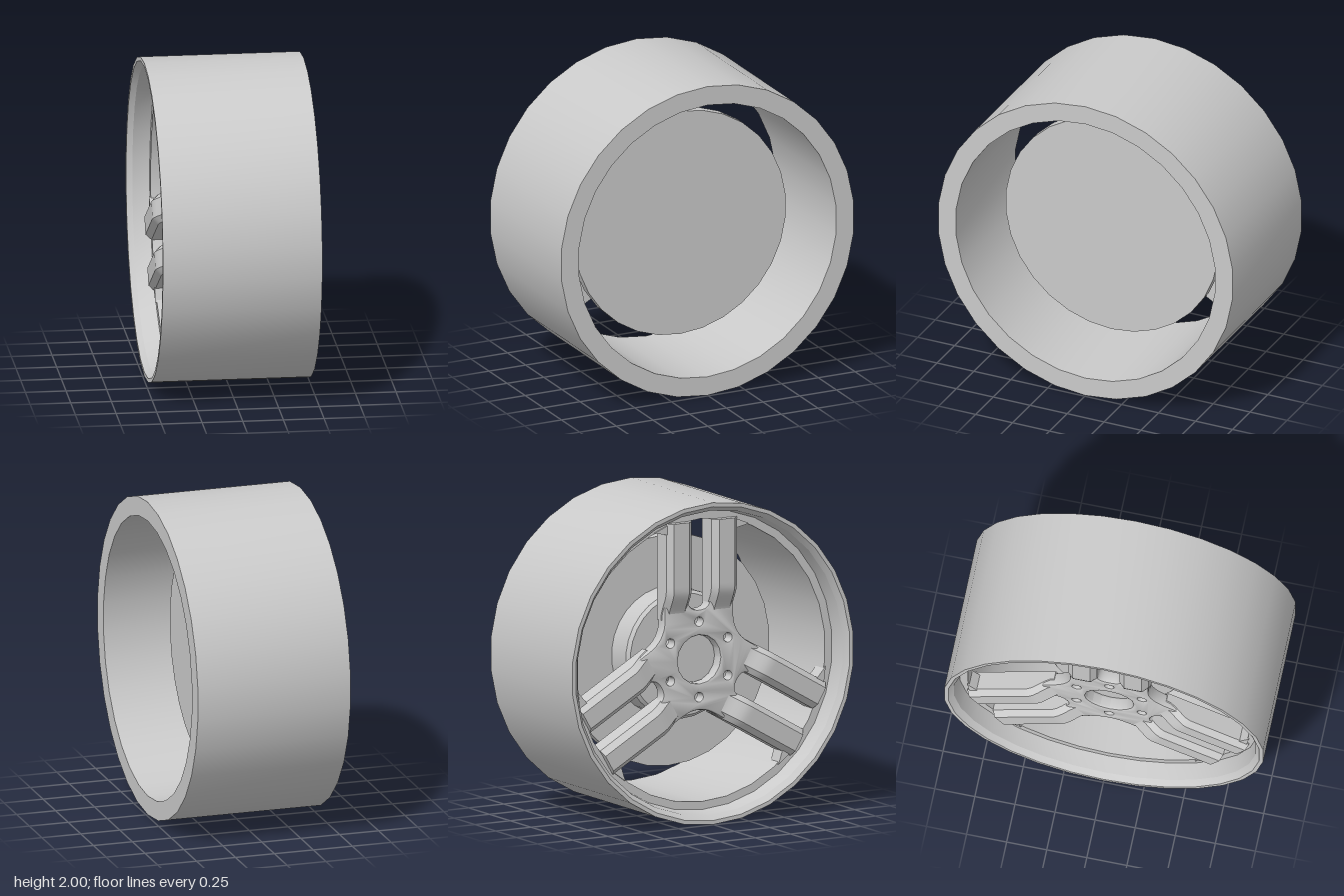
import * as THREE from 'three';
import { toCreasedNormals } from 'three/addons/utils/BufferGeometryUtils.js';

export function createModel() {
  const metal = new THREE.MeshStandardMaterial({ color: 0xcacaca });
  metal.name = 'grey metal';

  // Built with the axle along local z; the spoked face looks along +z, then turns to -x
  const wheel = new THREE.Group();
  wheel.name = 'wheel';

  function add(name, geometry) {
    const mesh = new THREE.Mesh(toCreasedNormals(geometry, 0.5), metal);
    mesh.name = name;
    wheel.add(mesh);
  }
  // Profile as [radius, position along axle]
  function turned(name, profile) {
    const g = new THREE.LatheGeometry(profile.map(([r, z]) => new THREE.Vector2(r, z)), 30);
    add(name, g.rotateX(Math.PI / 2));
  }

  // Barrel with a stepped lip and a seat for the spokes
  turned('rimBarrel', [
    [0.88, -0.49], [1, -0.49], [1, 0.49], [0.975, 0.49], [0.945, 0.455],
    [0.93, 0.35], [0.88, 0.35], [0.88, -0.49],
  ]);

  // Large disc with a stepped hub behind the spokes
  turned('brakeDrum', [
    [0, -0.115], [0.72, -0.115], [0.72, -0.05], [0.4, -0.05], [0.4, 0.12],
    [0.38, 0.14], [0.19, 0.14], [0.19, 0.25], [0, 0.25],
  ]);

  // Point at radius r along a spoke pair and t across it
  const pairAngle = (pair) => Math.PI / 2 + pair * Math.PI * 2 / 3;
  const at = (pair, r, t) => {
    const a = pairAngle(pair);
    return [r * Math.cos(a) - t * Math.sin(a), r * Math.sin(a) + t * Math.cos(a)];
  };

  // Hub plate: three stubs with rounded inner corners
  const plate = new THREE.Shape();
  plate.moveTo(...at(0, 0.27, -0.245));
  for (let i = 0; i < 3; i++) {
    plate.lineTo(...at(i, 0.37, -0.245));
    plate.lineTo(...at(i, 0.37, -0.075));
    plate.quadraticCurveTo(...at(i, 0.31, -0.07), ...at(i, 0.31, 0));
    plate.quadraticCurveTo(...at(i, 0.31, 0.07), ...at(i, 0.37, 0.075));
    plate.lineTo(...at(i, 0.37, 0.245));
    plate.lineTo(...at(i, 0.27, 0.245));
    plate.quadraticCurveTo(...at(i, 0.1415, 0.245), ...at(i + 1, 0.27, -0.245));
  }
  // Centre bore and six bolt holes
  const hole = (x, y, r) => {
    const p = new THREE.Path();
    p.absarc(x, y, r, 0, Math.PI * 2, true);
    plate.holes.push(p);
  };
  hole(0, 0, 0.15);
  for (let i = 0; i < 6; i++) {
    const a = Math.PI / 6 + i * Math.PI / 3;
    hole(0.235 * Math.cos(a), 0.235 * Math.sin(a), 0.026);
  }
  const hub = new THREE.ExtrudeGeometry(plate, {
    depth: 0.055, curveSegments: 8, bevelThickness: 0.015,
    bevelSize: 0.015, bevelOffset: -0.015, bevelSegments: 2,
  });
  add('hub', hub.translate(0, 0, 0.26));

  // Spokes: chamfered bars that dip towards the hub
  const section = new THREE.Shape([
    [-0.09, 0.24], [0.09, 0.24], [0.09, 0.355], [0.055, 0.39], [-0.055, 0.39], [-0.09, 0.355],
  ].map(([t, z]) => new THREE.Vector2(t, z)));
  const gussetOutline = [[0.8, 0.24], [0.82, 0.335], [0.86, 0.24]];
  for (let i = 0; i < 3; i++) {
    const a = pairAngle(i);
    const along = new THREE.Vector3(Math.cos(a), Math.sin(a), 0);
    const across = new THREE.Vector3(-Math.sin(a), Math.cos(a), 0);
    const basis = new THREE.Matrix4().makeBasis(across, new THREE.Vector3(0, 0, 1), along);
    for (const s of [-1, 1]) {
      const bar = new THREE.ExtrudeGeometry(section, { depth: 0.61, steps: 20, bevelEnabled: false });
      bar.translate(0.16 * s, 0, 0.26);
      const p = bar.attributes.position;
      for (let k = 0; k < p.count; k++) {
        const dip = 1 - THREE.MathUtils.smoothstep(p.getZ(k), 0.27, 0.45);
        if (p.getY(k) > 0.3) p.setY(k, p.getY(k) - 0.066 * dip);
      }
      add('spoke', bar.applyMatrix4(basis));

      // Small gusset beside the spoke end
      const tri = new THREE.Shape(gussetOutline.map(([r, t]) => new THREE.Vector2(...at(i, r, t * s))));
      const g = new THREE.ExtrudeGeometry(tri, { depth: 0.1, bevelEnabled: false });
      add('spokeGusset', g.translate(0, 0, 0.26));
    }
  }

  wheel.rotation.y = -Math.PI / 2;
  wheel.position.y = 1;
  const model = new THREE.Group();
  model.name = 'spokedWheel';
  model.add(wheel);
  return model;
}
